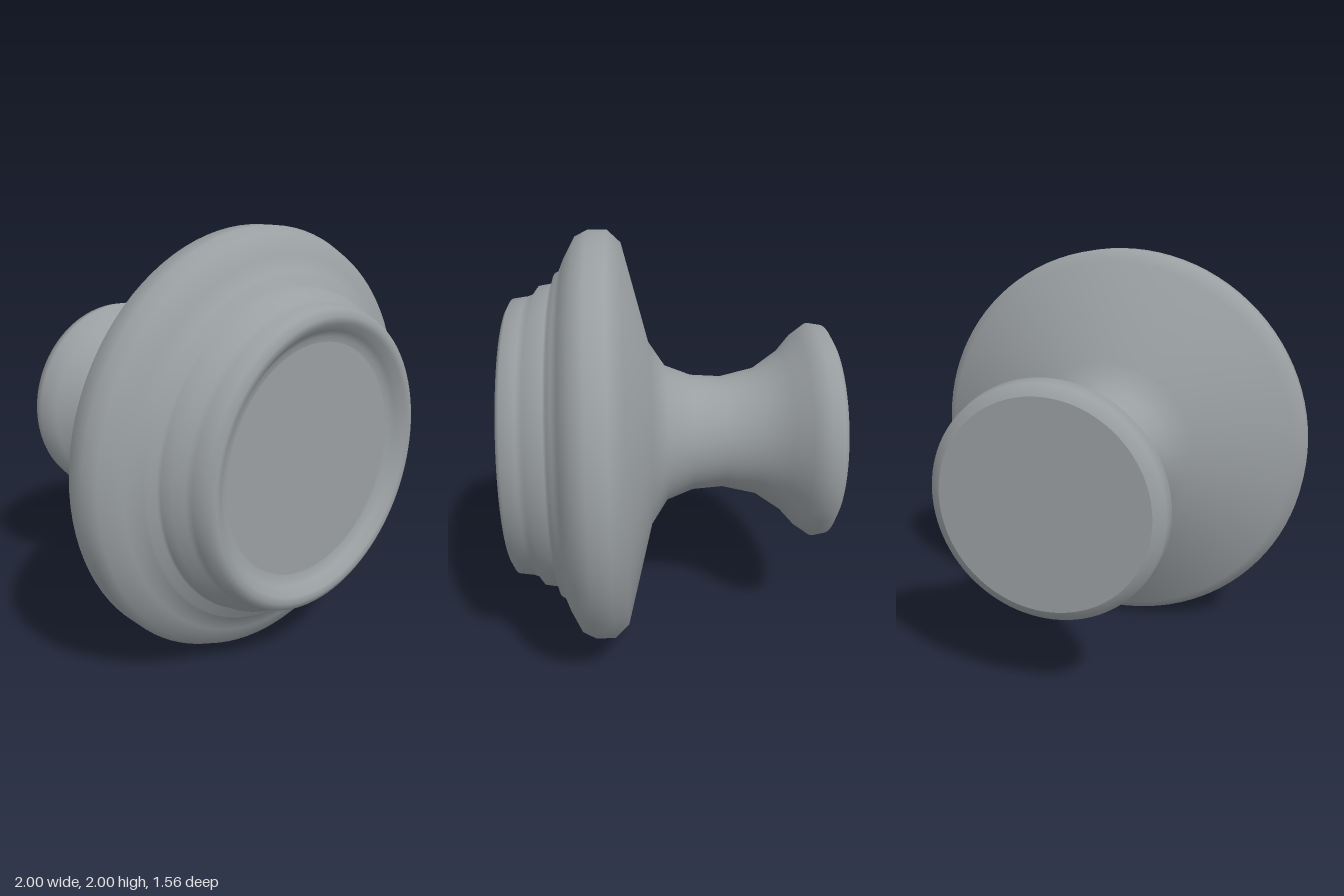
import * as THREE from 'three';

const SEGMENTS = 96;
const material = new THREE.MeshStandardMaterial({ color: 0x9a9fa2 });

// Outward direction of each profile point: the even mean of its two neighbouring edges
function profileNormals(points) {
  const edges = points.slice(1).map((p, i) => {
    const d = p.clone().sub(points[i]).normalize();
    return new THREE.Vector2(d.y, -d.x);
  });
  return points.map((_, i) => {
    const before = edges[Math.max(i - 1, 0)];
    const after = edges[Math.min(i, edges.length - 1)];
    return before.clone().add(after).normalize();
  });
}

// Turns a profile of [radius, z] pairs, listed back to front, about the z axis
function turned(name, profile) {
  const points = profile.map(([r, z]) => new THREE.Vector2(r, z));
  const geometry = new THREE.LatheGeometry(points, SEGMENTS);
  const normals = profileNormals(points);
  for (let i = 0; i <= SEGMENTS; i++) {
    const angle = (i / SEGMENTS) * Math.PI * 2;
    normals.forEach((n, j) => geometry.attributes.normal.setXYZ(
      i * points.length + j, n.x * Math.sin(angle), n.y, n.x * Math.cos(angle)));
  }
  geometry.rotateX(Math.PI / 2);
  const mesh = new THREE.Mesh(geometry, material);
  mesh.name = name;
  return mesh;
}

// Flat round face closing one end
function disc(name, radius, z, facesBack) {
  const geometry = new THREE.CircleGeometry(radius, SEGMENTS);
  if (facesBack) geometry.rotateY(Math.PI);
  const mesh = new THREE.Mesh(geometry, material);
  mesh.name = name;
  mesh.position.z = z;
  return mesh;
}

export function createModel() {
  const knob = new THREE.Group();
  knob.name = 'knob';

  knob.add(turned('body', [
    // flared grip and waisted neck
    [0.48, -0.78], [0.53, -0.75], [0.54, -0.69], [0.49, -0.62],
    [0.41, -0.55], [0.32, -0.42], [0.28, -0.25], [0.29, -0.1],
    [0.34, 0.03], [0.46, 0.11],
    // wide rounded flange
    [0.94, 0.235], [1, 0.3], [1, 0.39], [0.97, 0.45],
    [0.88, 0.5], [0.81, 0.53], [0.8, 0.55],
    // stepped collar
    [0.757, 0.556], [0.75, 0.57], [0.74, 0.63], [0.7, 0.66], [0.69, 0.69],
    // rounded rim and shallow dish
    [0.68, 0.76], [0.645, 0.78], [0.615, 0.775], [0.58, 0.735],
    [0.555, 0.72], [0.53, 0.715],
  ]));
  knob.add(disc('dishFloor', 0.53, 0.715, false));
  knob.add(disc('gripEnd', 0.48, -0.78, true));

  knob.children.forEach((part) => { part.position.y = 1; });
  return knob;
}
